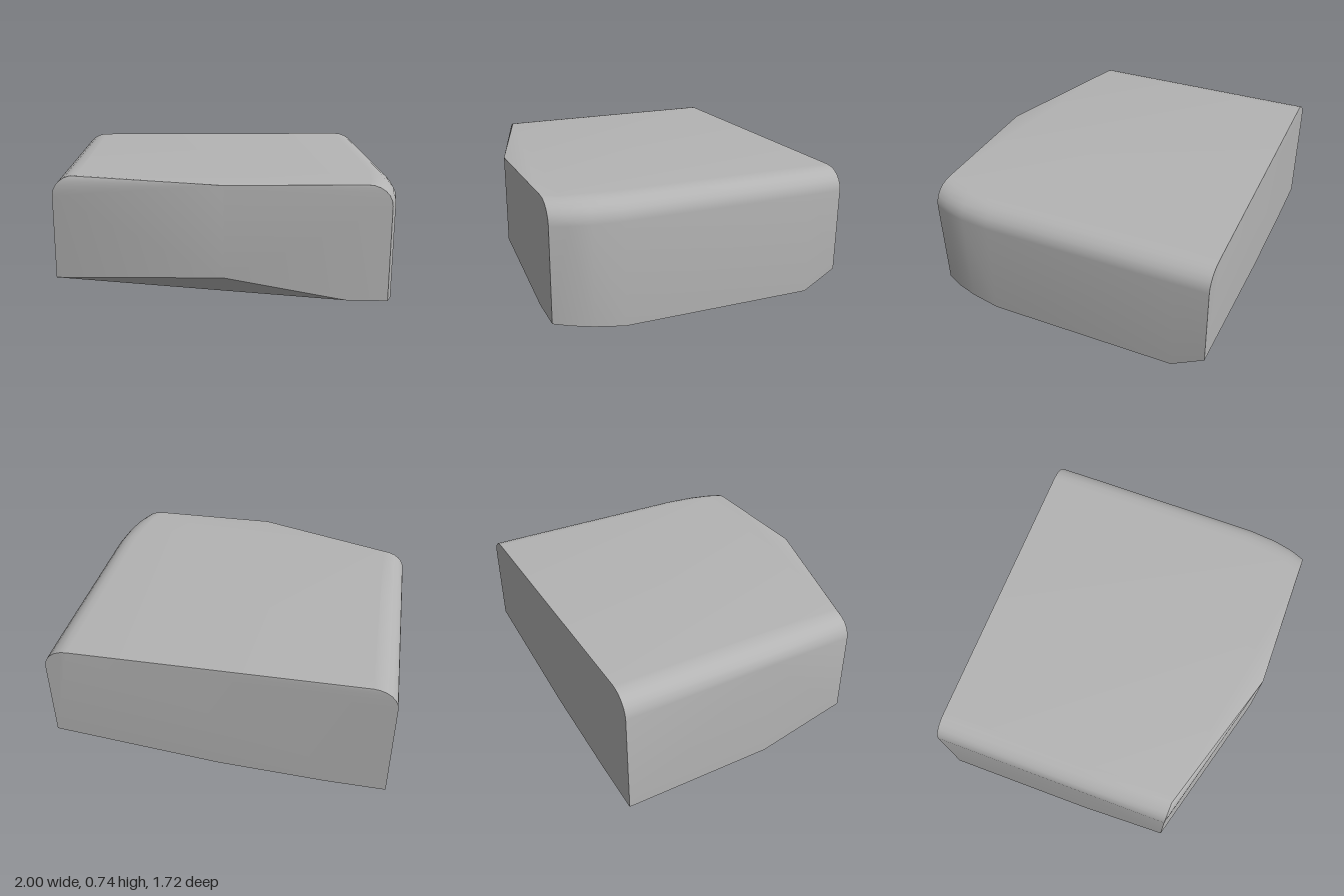
import * as THREE from 'three';
import { ConvexGeometry } from 'three/addons/geometries/ConvexGeometry.js';
import { toCreasedNormals } from 'three/addons/utils/BufferGeometryUtils.js';

const TOP = 0.74;
const SHOULDER = 0.62; // height where the side walls start to round over

// Side stations: [x, z, bottom height]
const rightSide = [
  [0.97, -0.86, 0.14],
  [0.976, -0.67, 0.03],
  [1.0, 0.45, 0.03],
  [0.988, 0.62, 0.052],
  [0.964, 0.74, 0.068],
  [0.93, 0.83, 0.08],
];
const leftSide = [
  [-1.0, -0.81, 0],
  [-0.972, 0.08, 0],
  [-0.955, 0.61, 0.13],
];

// Wall plus rounded shoulder, sampled at one station
function stationPoints([x, z, bottom]) {
  const side = Math.sign(x);
  const points = [new THREE.Vector3(x, bottom, z)];
  const steps = 6;
  for (let i = 0; i <= steps; i++) {
    const a = (i / steps) * Math.PI / 2;
    points.push(new THREE.Vector3(
      x - side * 0.14 * (1 - Math.cos(a)),
      SHOULDER + (TOP - SHOULDER) * Math.sin(a),
      z
    ));
  }
  return points;
}

export function createModel() {
  const grey = new THREE.MeshStandardMaterial({ color: 0xb4b4b4 });
  grey.name = 'grey';

  const points = [...rightSide, ...leftSide].flatMap(stationPoints);

  // Front ridge and the lower front bevel
  points.push(
    new THREE.Vector3(0.02, TOP, 0.855),
    new THREE.Vector3(0.02, 0.22, 0.855),
    new THREE.Vector3(0.7, 0.085, 0.836)
  );

  // Bowed lower back edge
  points.push(
    new THREE.Vector3(-0.01, 0.035, -0.835),
    new THREE.Vector3(-0.65, 0.004, -0.819)
  );

  const block = new THREE.Mesh(toCreasedNormals(new ConvexGeometry(points), 0.45), grey);
  block.name = 'block';

  const model = new THREE.Group();
  model.name = 'bevelledBlock';
  model.add(block);
  return model;
}
